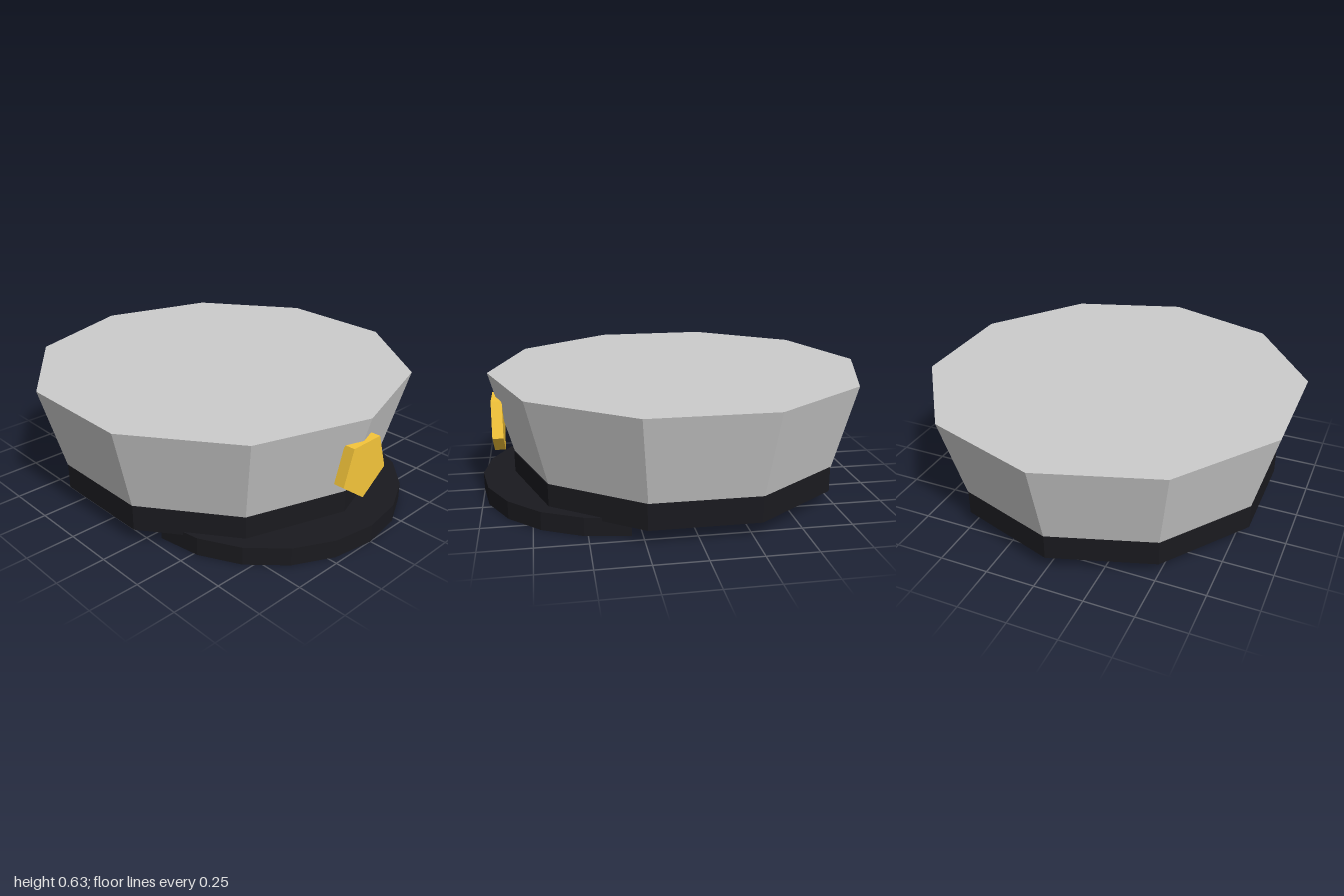
import * as THREE from 'three';

export function createModel() {
  const group = new THREE.Group();
  group.name = 'peakedCap';

  const cloth = new THREE.MeshStandardMaterial({ color: 0xcccccc, flatShading: true });
  const black = new THREE.MeshStandardMaterial({ color: 0x1a1a1f, flatShading: true });
  const gold = new THREE.MeshStandardMaterial({ color: 0xf5c53a, flatShading: true });
  const blackOpen = black.clone();
  blackOpen.side = THREE.DoubleSide;

  const add = (name, geometry, material, x, y, z) => {
    const mesh = new THREE.Mesh(geometry, material);
    mesh.name = name;
    mesh.position.set(x, y, z);
    group.add(mesh);
    return mesh;
  };

  // Ten-sided crown flaring upwards, with a corner at the front
  const bandTop = 0.205, crownTop = 0.63, bandBottom = 0.075;
  add('crown', new THREE.CylinderGeometry(0.975, 0.86, crownTop - bandTop, 10),
    cloth, 0, (crownTop + bandTop) / 2, -0.025);

  // Straight band below the crown
  add('band', new THREE.CylinderGeometry(0.86, 0.86, bandTop - bandBottom, 10),
    black, 0, (bandTop + bandBottom) / 2, -0.022);

  // Half-disc visor, open at its hidden rear edge
  add('visor', new THREE.CylinderGeometry(0.7, 0.7, 0.092, 10, 1, false, -Math.PI / 2, Math.PI),
    blackOpen, 0, 0.046, 0.302);

  // Five-sided badge standing upright, point down
  const badge = new THREE.CylinderGeometry(0.16, 0.16, 0.055, 5);
  badge.rotateX(Math.PI / 2);
  add('badge', badge, gold, 0, 0.375, 0.908);

  return group;
}
